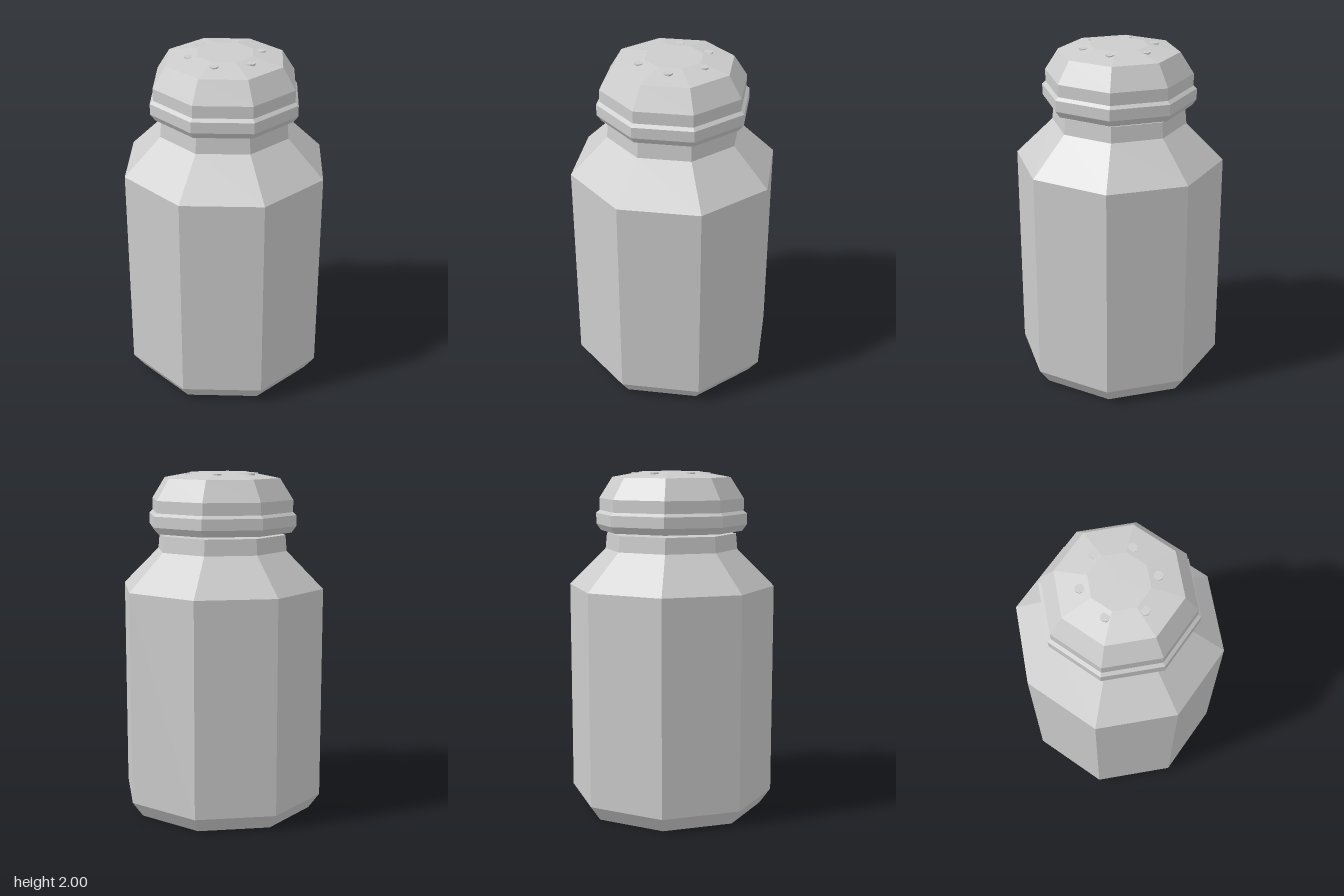
import * as THREE from 'three';

const SIDES = 8;

// Octagonal solid from [apothem, y] pairs, bottom to top, flats facing the axes
function octagonal(name, profile, material) {
  const k = 1 / Math.cos(Math.PI / SIDES);
  const points = profile.map(([a, y]) => new THREE.Vector2(a * k, y));
  const mesh = new THREE.Mesh(new THREE.LatheGeometry(points, SIDES, Math.PI / SIDES), material);
  mesh.name = name;
  return mesh;
}

export function createModel() {
  const model = new THREE.Group();
  model.name = 'shaker';
  const grey = new THREE.MeshStandardMaterial({ color: 0xcccccc });
  grey.name = 'light grey';
  grey.flatShading = true;

  // Jar with chamfered base, sloping shoulder and short neck
  model.add(octagonal('jar', [
    [0, 0], [0.5, 0], [0.56, 0.09], [0.56, 1.335],
    [0.36, 1.55], [0.352, 1.642], [0, 1.642],
  ], grey));

  // Cap with a raised rim and domed top, just clear of the neck
  const cap = new THREE.Group();
  cap.name = 'cap';
  cap.add(octagonal('capShell', [
    [0, 1.657], [0.385, 1.657], [0.41, 1.695], [0.41, 1.758],
    [0.392, 1.775], [0.392, 1.845], [0.32, 1.967], [0.155, 2], [0, 2],
  ], grey));

  // Ring of six small pour holes set in the sloping top
  for (let i = 0; i < 6; i++) {
    const a = (i * Math.PI) / 3;
    const hole = new THREE.Mesh(new THREE.CylinderGeometry(0.026, 0.026, 0.02, 10), grey);
    hole.name = 'pourHole';
    hole.position.set(0.205 * Math.cos(a), 1.985, 0.205 * Math.sin(a));
    cap.add(hole);
  }
  model.add(cap);
  return model;
}
